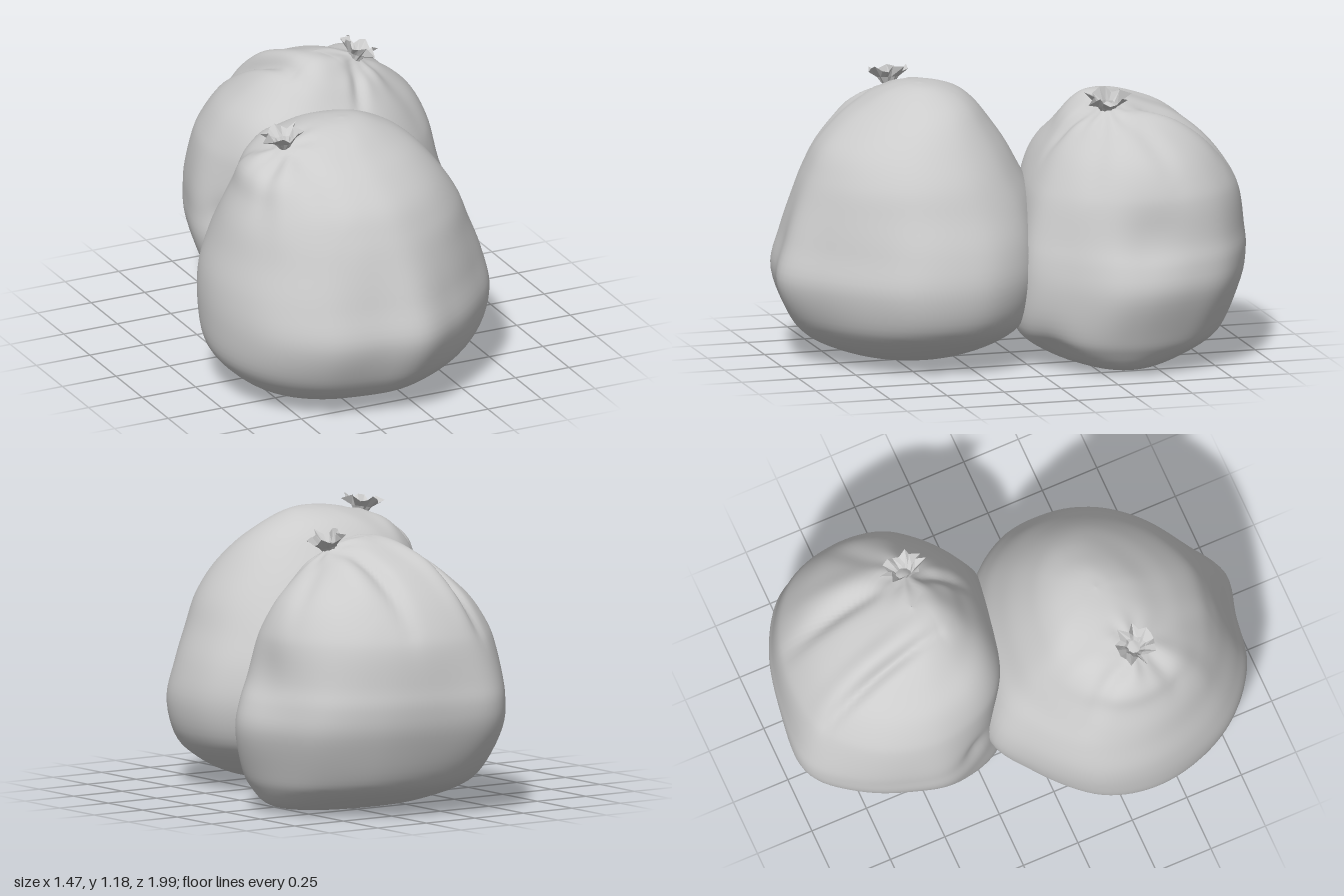
import * as THREE from 'three';

const material = new THREE.MeshStandardMaterial({ color: 0xcccccc });
const knotMaterial = new THREE.MeshStandardMaterial({ color: 0xcccccc, flatShading: true, side: THREE.DoubleSide });
const AROUND = 112, UP = 72, WIDEST = .38;

// Plan outlines [x, z] at the widest level, counterclockwise from above.
// Rows: [y, xMin, xMax, zMin, zMax] from base to top.
// Folds: [x0, z0, x1, z1, height, width] on the upper surface, negative = crease.
// Dents: [x, y, z, depth, radius], negative depth = bulge.
const frontBag = {
  outline: [[-.31, -.21], [-.46, -.11], [-.68, .12], [-.74, .34], [-.71, .58], [-.62, .77], [-.43, .92], [-.21, .96],
    [-.03, 1], [.16, .88], [.34, .72], [.47, .56], [.51, .36], [.49, .2], [.37, .03], [.2, -.05], [-.06, -.13]],
  rows: [[0, -.16, -.16, .48, .48], [.01, -.38, .02, .32, .62], [.035, -.53, .2, .15, .72], [.1, -.64, .35, -.03, .85],
    [.2, -.72, .47, -.15, .94], [.36, -.74, .51, -.21, 1], [.52, -.73, .48, -.2, .955], [.67, -.69, .42, -.15, .9],
    [.79, -.655, .37, -.08, .85], [.9, -.61, .3, -.02, .79], [1, -.575, .22, .05, .69], [1.07, -.49, .14, .11, .59],
    [1.12, -.36, .05, .18, .51], [1.15, -.24, -.03, .27, .43], [1.16, -.12, -.12, .36, .36]],
  folds: [[-.44, .42, -.56, .52, -.02, .04], [-.43, .38, -.56, .14, -.02, .04], [-.4, .48, -.32, .8, -.012, .06],
    [-.45, .47, -.56, .7, .01, .05], [-.38, .36, -.4, .07, .01, .05]],
  dents: [],
  knot: { x: -.415, y: 1.095, z: .41, sx: .088, sz: .095, h: .065, turn: .3, tilt: .15 },
};
const backBag = {
  outline: [[-.09, -1], [-.18, -.96], [-.3, -.79], [-.37, -.61], [-.41, -.43], [-.34, -.26], [-.26, -.17], [-.1, -.07],
    [.14, .01], [.38, .05], [.56, -.09], [.71, -.26], [.735, -.4], [.69, -.6], [.61, -.77], [.41, -.9], [.14, -.97]],
  rows: [[0, .2, .2, -.36, -.36], [.006, 0, .48, -.5, -.25], [.03, -.15, .59, -.62, -.13], [.1, -.28, .65, -.81, 0],
    [.18, -.35, .685, -.9, .05], [.35, -.41, .735, -.98, .045], [.47, -.41, .725, -1, .035], [.57, -.4, .695, -.985, .02],
    [.7, -.37, .665, -.955, -.01], [.78, -.34, .635, -.92, -.04], [.88, -.28, .575, -.85, -.09], [.96, -.2, .5, -.77, -.14],
    [1.03, -.12, .41, -.67, -.19], [1.08, -.04, .31, -.55, -.25], [1.115, .04, .22, -.45, -.31], [1.13, .12, .12, -.38, -.38]],
  folds: [[-.11, -.87, -.02, -.32, -.035, .03], [-.04, -.85, .05, -.32, .02, .05], [.27, -.42, .25, -.88, -.03, .04],
    [.33, -.42, .38, -.8, .015, .06], [.27, -.3, .2, -.12, -.025, .03], [.36, -.4, .6, -.55, -.012, .05],
    [.36, -.3, .55, -.2, -.01, .06], [.15, -.33, .02, -.22, .02, .07]],
  dents: [[.68, .59, -.42, .035, .16], [-.38, .5, -.28, .02, .07], [-.2, .85, -.17, -.05, .2],
    [-.27, .08, -.17, -.045, .2], [.45, .06, -.02, .035, .12]],
  knot: { x: .28, y: 1.072, z: -.34, sx: .075, sz: .095, h: .075, turn: .8, tilt: -.35 },
};

// Soft lump or crease along a segment in plan, fading towards its ends
function foldHeight(x, z, [x0, z0, x1, z1, height, width]) {
  const dx = x1 - x0, dz = z1 - z0;
  const t = THREE.MathUtils.clamp(((x - x0) * dx + (z - z0) * dz) / (dx * dx + dz * dz), 0, 1);
  const d = Math.hypot(x - x0 - t * dx, z - z0 - t * dz);
  return height * Math.exp(-((d / width) ** 2)) * (.3 + .7 * Math.sin(Math.PI * t));
}

function bagGeometry({ outline, rows, folds, dents, knot }) {
  const plan = new THREE.CatmullRomCurve3(outline.map(([x, z]) => new THREE.Vector3(x, 0, z)), true, 'centripetal');
  const xs = new THREE.CatmullRomCurve3(rows.map(r => new THREE.Vector3(r[1], r[0], r[2])), false, 'catmullrom');
  const zs = new THREE.CatmullRomCurve3(rows.map(r => new THREE.Vector3(r[3], r[0], r[4])), false, 'catmullrom');
  const ring = plan.getSpacedPoints(AROUND).slice(0, AROUND);
  const box = new THREE.Box3().setFromPoints(ring);
  const positions = [], index = [];
  for (let i = 0; i <= UP; i++) {
    const a = xs.getPoint(i / UP), b = zs.getPoint(i / UP);
    // The section turns rounder away from the widest level
    const round = .15 + .6 * THREE.MathUtils.smoothstep(Math.abs(a.y - WIDEST), .03, .42);
    ring.forEach((p, j) => {
      const u = (p.x - box.min.x) / (box.max.x - box.min.x) - .5, v = (p.z - box.min.z) / (box.max.z - box.min.z) - .5;
      const s = THREE.MathUtils.lerp(1, .5 / Math.hypot(u, v), round);
      positions.push(a.x + (u * s + .5) * (a.z - a.x), a.y, b.x + (v * s + .5) * (b.z - b.x));
      if (i === UP) return;
      const k = i * AROUND + j, next = i * AROUND + (j + 1) % AROUND;
      index.push(k, next, next + AROUND, k, next + AROUND, k + AROUND);
    });
  }
  const geometry = new THREE.BufferGeometry();
  geometry.setAttribute('position', new THREE.Float32BufferAttribute(positions, 3));
  geometry.setIndex(index);
  geometry.computeVertexNormals();

  // Push the surface along its normals into folds, gathers and dents
  const pos = geometry.attributes.position, nor = geometry.attributes.normal;
  const p = new THREE.Vector3(), n = new THREE.Vector3();
  for (let k = 0; k < pos.count; k++) {
    p.fromBufferAttribute(pos, k);
    n.fromBufferAttribute(nor, k);
    const dx = p.x - knot.x, dz = p.z - knot.z, d = Math.hypot(dx, dz);
    let push = folds.reduce((sum, f) => sum + foldHeight(p.x, p.z, f), 0);
    push += .004 * Math.cos(7 * Math.atan2(dz, dx)) * Math.exp(-(((d - .09) / .06) ** 2));
    push += .012 * Math.exp(-((d / .035) ** 2));
    push *= THREE.MathUtils.smoothstep(p.y, .45, .85);
    for (const [x, y, z, depth, radius] of dents) {
      push -= depth * Math.exp(-((p.x - x) ** 2 + (p.y - y) ** 2 + (p.z - z) ** 2) / radius ** 2);
    }
    p.addScaledVector(n, push);
    pos.setXYZ(k, p.x, Math.max(p.y, 0), p.z);
  }
  geometry.computeVertexNormals();
  return geometry;
}

// Pleated, flared ruffle above a pinched neck
function knotGeometry({ sx, sz, h, turn }) {
  const pleats = 18, geometry = new THREE.CylinderGeometry(1, .2, 1, pleats, 2, true);
  const pos = geometry.attributes.position;
  for (let k = 0; k < pos.count; k++) {
    const j = k % (pleats + 1) % pleats, level = 2 - Math.floor(k / (pleats + 1));
    const angle = j / pleats * Math.PI * 2 + turn;
    const out = j % 2 ? 1 : .75;
    const ragged = 1 + .14 * Math.sin(j * 2.4 + turn * 5);
    const r = [.22, .2 + .3 * out, out * ragged][level];
    const y = [-.25, .3, .82 + .22 * Math.sin(j * 1.7 + turn)][level];
    pos.setXYZ(k, Math.sin(angle) * r * sx, y * h, Math.cos(angle) * r * sz);
  }
  return geometry;
}

function buildBag(name, spec) {
  const group = new THREE.Group();
  group.name = name;
  const body = new THREE.Mesh(bagGeometry(spec), material);
  body.name = name + 'Body';
  const knot = new THREE.Mesh(knotGeometry(spec.knot), knotMaterial);
  knot.name = name + 'Knot';
  knot.position.set(spec.knot.x, spec.knot.y + .01, spec.knot.z);
  knot.rotation.z = spec.knot.tilt;
  group.add(body, knot);
  return group;
}

export function createModel() {
  const model = new THREE.Group();
  model.name = 'tiedBags';
  model.add(buildBag('frontBag', frontBag), buildBag('backBag', backBag));
  return model;
}
